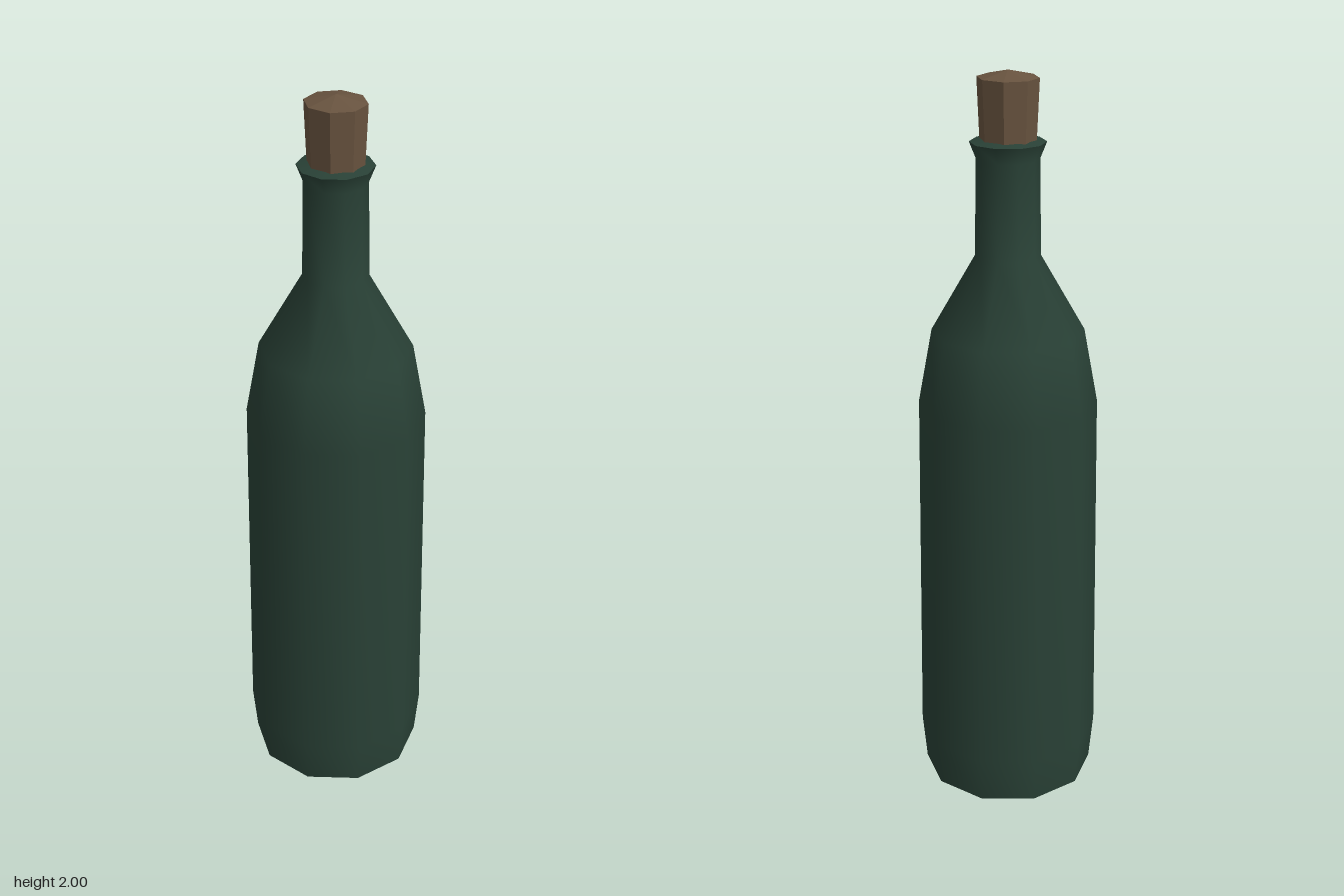
import * as THREE from 'three';

const glass = new THREE.MeshStandardMaterial({ color: 0x294136 });
glass.name = 'dark green glass';
const cork = new THREE.MeshStandardMaterial({ color: 0x68533f });
cork.name = 'brown cork';

// Revolves a profile of [radius, y] pairs, with a corner on the x axis
function turned(name, profile, sides, material, flat = false) {
  const points = profile.map(([r, y]) => new THREE.Vector2(r, y));
  let geometry = new THREE.LatheGeometry(points, sides, Math.PI / 2);
  if (flat) {
    geometry = geometry.toNonIndexed();
    geometry.computeVertexNormals();
  }
  const mesh = new THREE.Mesh(geometry, material);
  mesh.name = name;
  return mesh;
}

export function createModel() {
  const bottle = new THREE.Group();
  bottle.name = 'corkedBottle';

  // Slightly bulging underside, kept apart so its edge stays sharp
  bottle.add(turned('base', [[0, 0], [0.235, 0.022]], 10, glass));

  // Smooth wall from heel to flared lip
  bottle.add(turned('body', [
    [0.235, 0.022], [0.247, 0.15], [0.237, 1.13], [0.2, 1.33],
    [0.085, 1.53], [0.081, 1.78], [0.098, 1.823],
  ], 10, glass));

  // Flat ring on top of the lip
  bottle.add(turned('rim', [[0.098, 1.823], [0.06, 1.832]], 10, glass));

  // Faceted, slightly tapered stopper with a low pointed top
  const stopper = turned('stopper', [
    [0, 1.79], [0.07, 1.79], [0.078, 1.982], [0, 2],
  ], 8, cork, true);
  stopper.scale.z = 1.04;
  bottle.add(stopper);

  return bottle;
}
